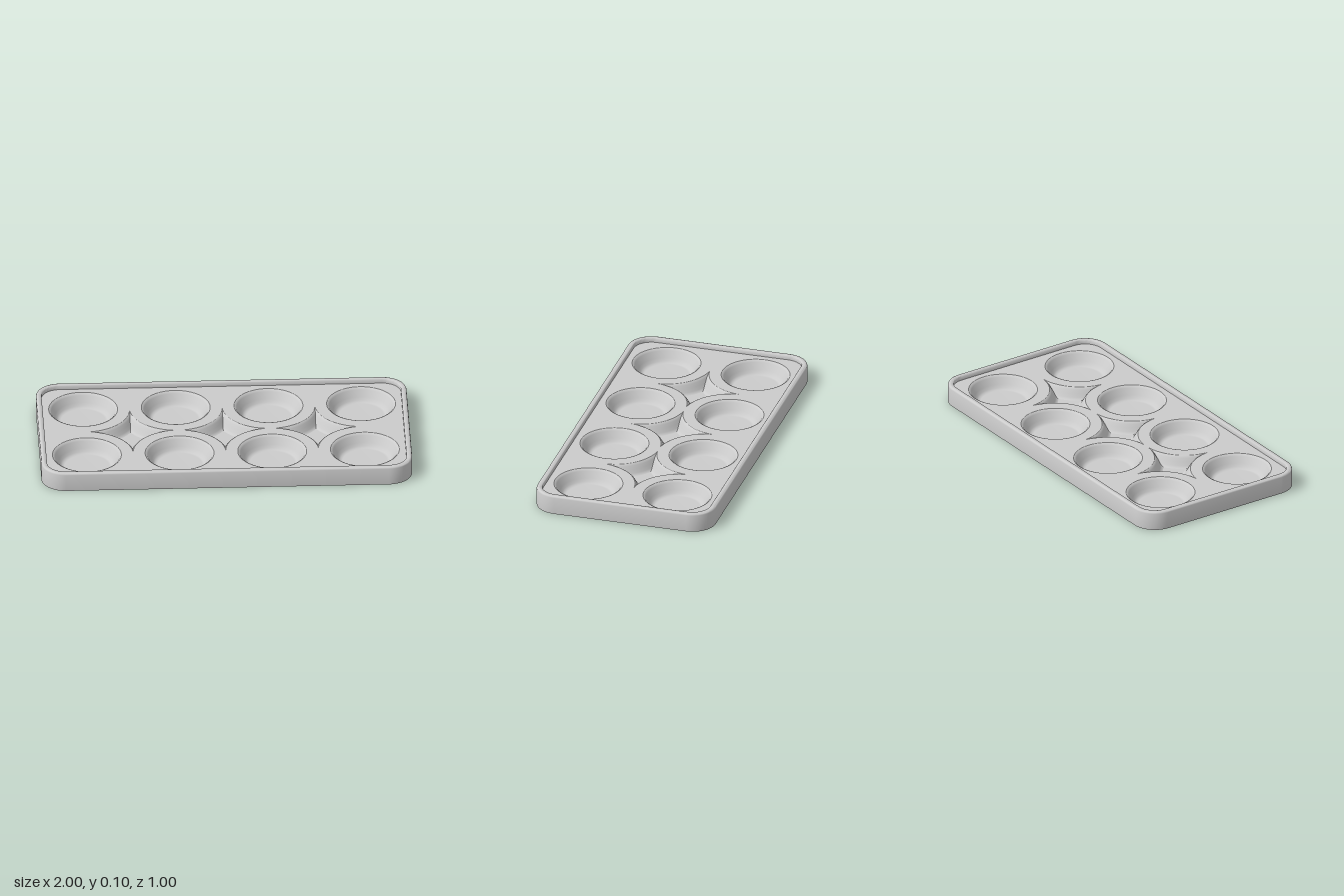
import * as THREE from 'three';
import { toCreasedNormals } from 'three/addons/utils/BufferGeometryUtils.js';
import { ParametricGeometry } from 'three/addons/geometries/ParametricGeometry.js';

const DECK = 0.08, FLOOR = 0.01;
const HALF_X = 1, HALF_Z = 0.5, CORNER = 0.13, RIM = 0.03;
const STAR_TOP = 0.251;

// Rounded rectangle outline, inset from the tray edge
function outline(inset, n = 14) {
  const r = CORNER - inset, pts = [];
  const centres = [[1, 1], [-1, 1], [-1, -1], [1, -1]];
  centres.forEach(([sx, sy], k) => {
    for (let i = 0; i <= n; i++) {
      const a = (k + i / n) * Math.PI / 2;
      pts.push(new THREE.Vector2(
        sx * (HALF_X - CORNER) + r * Math.cos(a),
        sy * (HALF_Z - CORNER) + r * Math.sin(a)));
    }
  });
  return pts;
}

// Four-pointed outline bounded by arcs of radius r around the four nearby cups
function starOutline(cx, r, n = 16) {
  const a = Math.acos(0.25 / r), pts = [];
  for (let k = 0; k < 4; k++) {
    const mid = (k + 0.5) * Math.PI / 2;
    const sx = Math.sign(Math.cos(mid)), sy = Math.sign(Math.sin(mid));
    for (let i = 0; i < n; i++) {
      const t = mid + Math.PI + (Math.PI / 4 - a) * (1 - 2 * i / n);
      pts.push(new THREE.Vector2(cx + sx * 0.25 + r * Math.cos(t), sy * 0.25 + r * Math.sin(t)));
    }
  }
  return pts;
}

// Outer wall and rim: [inset, height] profile swept round the outline
function rimGeometry() {
  const profile = [[0, 0], [0, 0.095], [0.003, 0.102], [0.01, 0.105], [RIM - 0.003, 0.105],
    [RIM, 0.102], [RIM, DECK]];
  const pos = [], index = [];
  const n = outline(0).length;
  profile.forEach(([d, y]) => outline(d).forEach(p => pos.push(p.x, y, -p.y)));
  for (let j = 0; j < profile.length - 1; j++) {
    for (let i = 0; i < n; i++) {
      const a = j * n + i, b = j * n + (i + 1) % n;
      index.push(a, b, b + n, a, b + n, a + n);
    }
  }
  const g = new THREE.BufferGeometry();
  g.setAttribute('position', new THREE.Float32BufferAttribute(pos, 3));
  g.setIndex(index);
  return toCreasedNormals(g, 0.8);
}

export function createModel() {
  const tray = new THREE.Group();
  tray.name = 'tray';
  const material = new THREE.MeshStandardMaterial({ color: 0xcccccc, side: THREE.DoubleSide });
  const add = (name, geometry, x = 0, y = 0, z = 0) => {
    const mesh = new THREE.Mesh(geometry, material);
    mesh.name = name;
    mesh.position.set(x, y, z);
    tray.add(mesh);
  };

  add('rimAndWall', rimGeometry());

  const cups = [];
  for (const x of [-0.75, -0.25, 0.25, 0.75]) for (const z of [-0.25, 0.25]) cups.push([x, z]);
  const stars = [-0.5, 0, 0.5];

  // Deck with openings for the cups and star hollows
  const deck = new THREE.Shape(outline(RIM));
  for (const [x, z] of cups) {
    const ring = [];
    for (let i = 0; i < 64; i++) {
      const a = i / 64 * Math.PI * 2;
      ring.push(new THREE.Vector2(x + 0.186 * Math.sin(a), z + 0.186 * Math.cos(a)));
    }
    deck.holes.push(new THREE.Path(ring));
  }
  for (const x of stars) deck.holes.push(new THREE.Path(starOutline(x, STAR_TOP)));
  add('deck', new THREE.ShapeGeometry(deck).rotateX(-Math.PI / 2), 0, DECK, 0);

  // Round cups with softened top and bottom edges
  const cupProfile = [[0, FLOOR], [0.12, FLOOR], [0.132, 0.012], [0.142, 0.02], [0.152, 0.035],
    [0.172, 0.068], [0.178, 0.076], [0.186, DECK]].map(p => new THREE.Vector2(...p));
  const cup = new THREE.LatheGeometry(cupProfile, 64);
  for (const [x, z] of cups) add('cup', cup, x, 0, z);

  // Star hollows between the cups: [arc radius, height] from deck to floor
  const slope = [[STAR_TOP, DECK], [0.257, 0.076], [0.263, 0.068], [0.273, 0.05],
    [0.283, 0.032], [0.29, 0.023], [0.298, 0.02]];
  const last = slope.length - 1;
  for (const x of stars) {
    for (const sx of [-1, 1]) for (const sz of [-1, 1]) {
      const wall = new ParametricGeometry((u, v, target) => {
        const [r, y] = slope[Math.round(v * last)] ;
        const a = Math.acos(0.25 / r);
        const t = a + u * (Math.PI / 2 - 2 * a);
        target.set(sx * (0.25 - r * Math.cos(t)), y, sz * (0.25 - r * Math.sin(t)));
      }, 16, last);
      wall.computeVertexNormals();
      add('starHollowWall', wall, x, 0, 0);
    }
    const floor = new THREE.Shape(starOutline(x, slope[last][0]));
    add('starHollowFloor', new THREE.ShapeGeometry(floor).rotateX(-Math.PI / 2), 0, slope[last][1], 0);
  }
  return tray;
}
